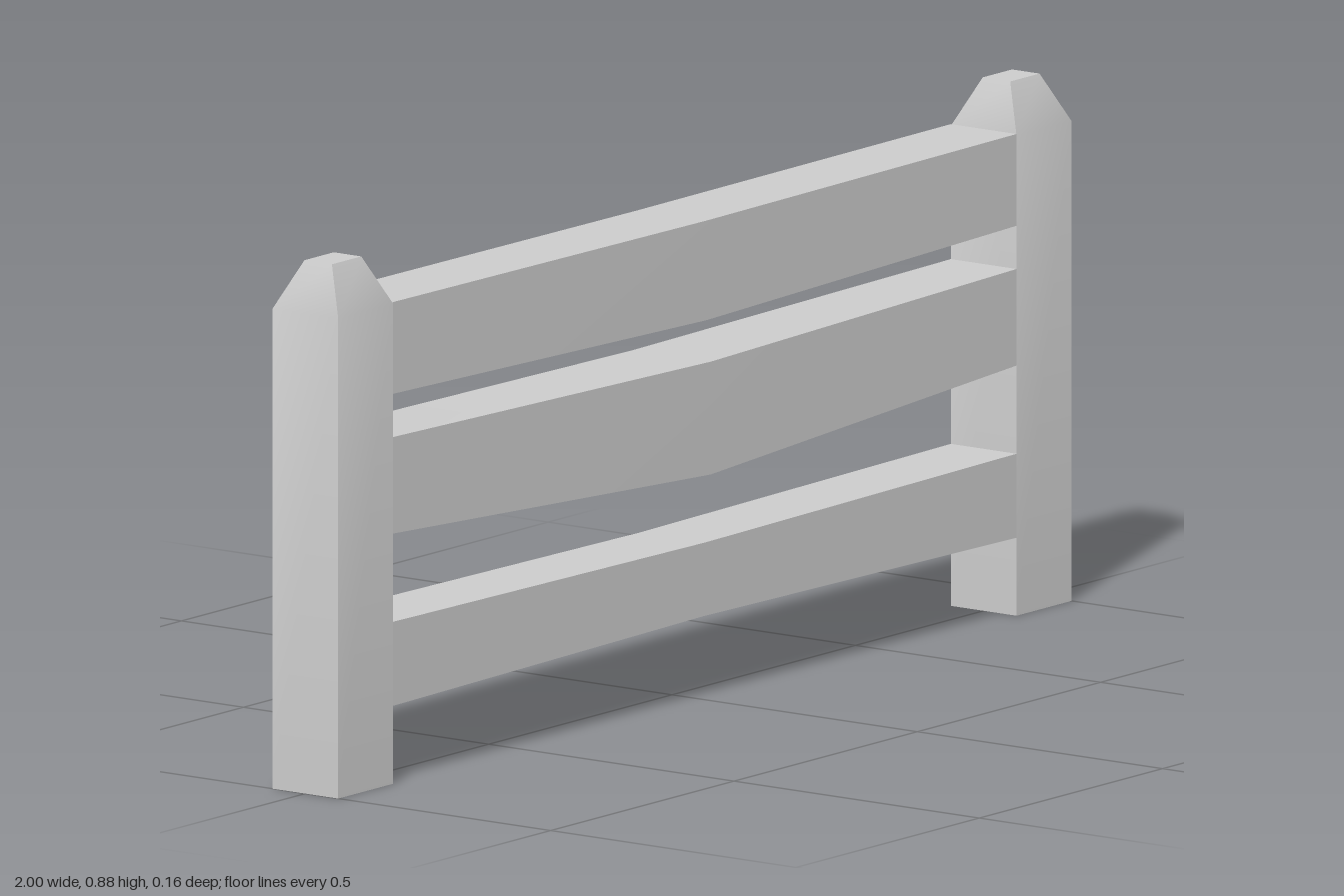
import * as THREE from 'three';
import { toCreasedNormals } from 'three/addons/utils/BufferGeometryUtils.js';

const material = new THREE.MeshStandardMaterial({ color: 0xcccccc });
const POST_X = 0.925, POST_W = 0.15, DEPTH = 0.067;

// Move every vertex of a geometry by a rule
function reshape(geometry, rule) {
  const p = geometry.attributes.position;
  const v = new THREE.Vector3();
  for (let i = 0; i < p.count; i++) {
    rule(v.fromBufferAttribute(p, i));
    p.setXYZ(i, v.x, v.y, v.z);
  }
  return toCreasedNormals(geometry, 0.6);
}

// Square post with a tapered, flat-topped cap
function makePost(name, side) {
  const geometry = reshape(new THREE.BoxGeometry(POST_W, 2, DEPTH * 2, 1, 2, 1), (v) => {
    if (v.y > 0.5) {
      v.x *= 0.04 / (POST_W / 2);
      v.z *= 0.028 / DEPTH;
    }
    v.y = v.y < -0.5 ? 0 : v.y > 0.5 ? 0.88 : 0.8;
  });
  const post = new THREE.Mesh(geometry, material);
  post.name = name;
  post.position.x = side * POST_X;
  return post;
}

// Rail between the posts, bent and thickened at its middle
function makeRail({ name, ends, middle, depth }) {
  const length = 2 * (POST_X - POST_W / 2);
  const geometry = reshape(new THREE.BoxGeometry(length, 2, 2, 2, 1, 1), (v) => {
    const centre = Math.abs(v.x) < 0.01;
    const [low, high] = centre ? middle : ends;
    v.y = v.y < 0 ? low : high;
    v.z *= centre ? depth : DEPTH;
  });
  const rail = new THREE.Mesh(geometry, material);
  rail.name = name;
  return rail;
}

export function createModel() {
  const fence = new THREE.Group();
  fence.name = 'fence';
  fence.add(makePost('leftPost', 1), makePost('rightPost', -1));

  // [bottom, top] heights at the ends and at the middle
  const rails = [
    { name: 'topRail', ends: [0.65, 0.803], middle: [0.633, 0.799], depth: 0.07 },
    { name: 'middleRail', ends: [0.417, 0.578], middle: [0.377, 0.565], depth: 0.079 },
    { name: 'bottomRail', ends: [0.13, 0.27], middle: [0.14, 0.262], depth: 0.067 },
  ];
  for (const rail of rails) fence.add(makeRail(rail));
  return fence;
}
